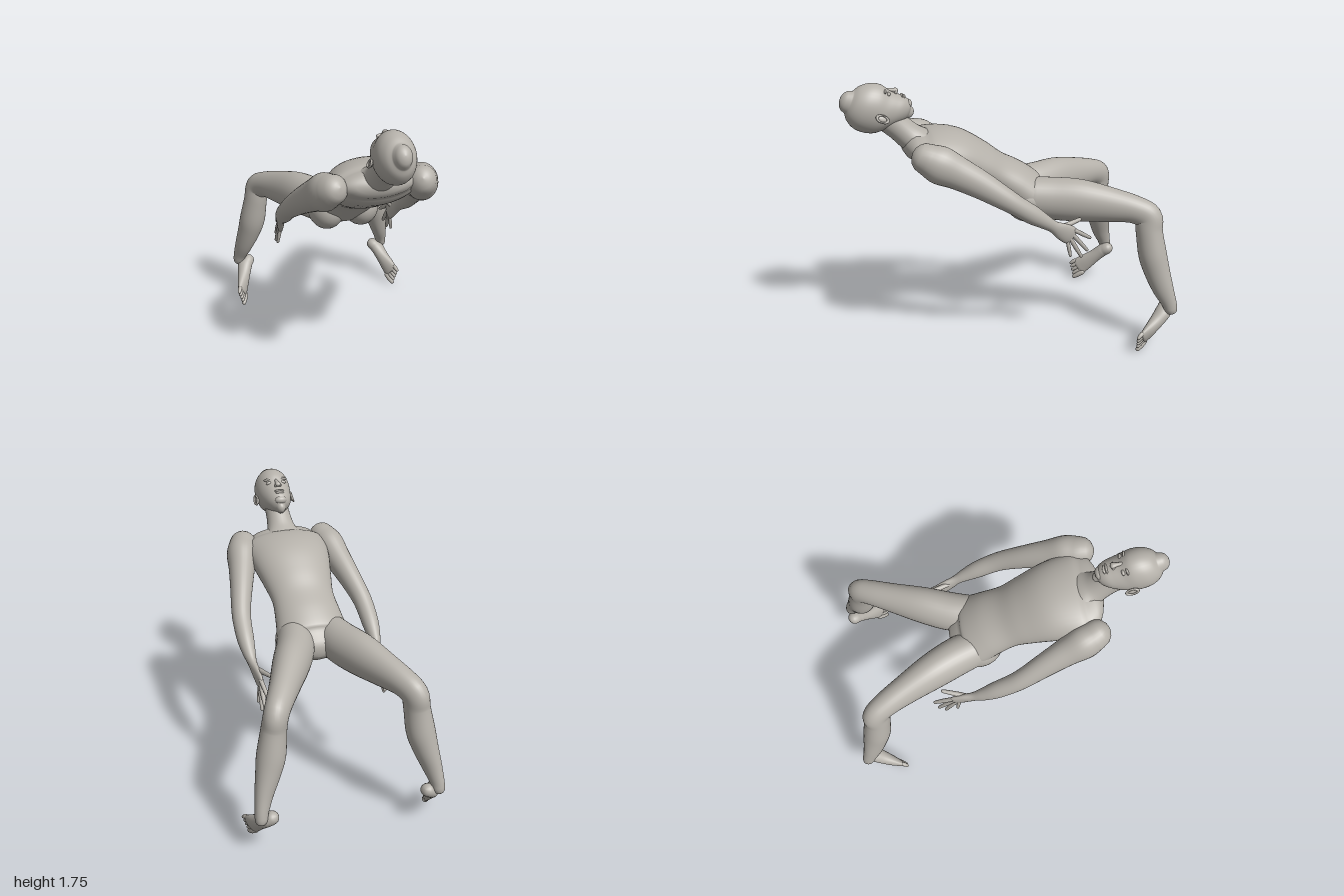
import * as THREE from 'three';

const skin = new THREE.MeshStandardMaterial({ color: 0xb5b1aa });
skin.name = 'warm grey skin';

// Smooth tube through rows of [x, y, z, half width, half depth] with domed ends.
// side: direction of the width; axis: optional fixed direction for all sections.
function loft(name, rows, side, { axis = null, seg = 28, steps = 5 } = {}) {
  const path = new THREE.CatmullRomCurve3(rows.map(r => new THREE.Vector3(r[0], r[1], r[2])), false, 'catmullrom');
  const size = new THREE.CatmullRomCurve3(rows.map(r => new THREE.Vector3(r[3], r[4], 0)), false, 'catmullrom');
  const stations = [];
  const n = (rows.length - 1) * steps;
  const caps = [0.05, 0.35, 0.65, 0.88];
  for (const k of caps) stations.push([0, k, -1]);
  for (let i = 0; i <= n; i++) stations.push([i / n, 1, 0]);
  for (const k of [...caps].reverse()) stations.push([1, k, 1]);

  const pos = [], index = [];
  for (const [t, k, end] of stations) {
    const dir = axis ? axis.clone() : path.getTangent(t);
    const u = side.clone().addScaledVector(dir, -side.dot(dir)).normalize();
    const v = new THREE.Vector3().crossVectors(dir, u);
    const s = size.getPoint(t);
    const c = path.getPoint(t).addScaledVector(dir, end * Math.min(s.x, s.y) * Math.sqrt(1 - k * k));
    for (let j = 0; j < seg; j++) {
      const a = (j / seg) * Math.PI * 2;
      const p = c.clone().addScaledVector(u, Math.cos(a) * s.x * k).addScaledVector(v, Math.sin(a) * s.y * k);
      pos.push(p.x, p.y, p.z);
    }
  }
  for (let i = 0; i < stations.length - 1; i++) {
    for (let j = 0; j < seg; j++) {
      const a = i * seg + j, b = i * seg + (j + 1) % seg;
      index.push(a, b, a + seg, b, b + seg, a + seg);
    }
  }
  // close the two poles
  const last = (stations.length - 1) * seg;
  for (let j = 1; j < seg - 1; j++) index.push(0, j + 1, j, last, last + j, last + j + 1);

  const g = new THREE.BufferGeometry();
  g.setAttribute('position', new THREE.Float32BufferAttribute(pos, 3));
  g.setIndex(index);
  g.computeVertexNormals();
  const m = new THREE.Mesh(g, skin);
  m.name = name;
  return m;
}

function ellipsoid(name, p, r) {
  const m = new THREE.Mesh(new THREE.SphereGeometry(1, 28, 18), skin);
  m.name = name;
  m.position.set(...p);
  m.scale.set(...r);
  return m;
}

// Tapered finger or toe
function digit(name, from, to, r) {
  const a = new THREE.Vector3(...from), b = new THREE.Vector3(...to);
  const mid = a.clone().lerp(b, 0.5);
  const rows = [[...a.toArray(), r, r], [...mid.toArray(), r, r], [...b.toArray(), r * 0.75, r * 0.75]];
  return loft(name, rows, new THREE.Vector3(1, 0.1, 0), { seg: 10, steps: 3 });
}

const X = new THREE.Vector3(1, 0, 0);

// Head in its own upright frame (y crown, z face), then tipped back
function makeHead() {
  const head = new THREE.Group();
  head.name = 'head';
  // height, front, back, half width
  const profile = [
    [-0.222, 0.098, 0.02, 0.03], [-0.2, 0.126, -0.01, 0.058], [-0.16, 0.14, -0.05, 0.083],
    [-0.11, 0.141, -0.1, 0.099], [-0.06, 0.143, -0.137, 0.11], [0, 0.155, -0.152, 0.116],
    [0.06, 0.141, -0.148, 0.11], [0.11, 0.105, -0.12, 0.087], [0.14, 0.06, -0.082, 0.055]];
  const rows = profile.map(([y, f, b, w]) => [0, y, (f + b) / 2, w, (f - b) / 2]);
  head.add(loft('skull', rows, X, { axis: new THREE.Vector3(0, 1, 0), seg: 40 }));
  head.add(loft('nose', [[0, -0.04, 0.138, 0.01, 0.01], [0, -0.07, 0.148, 0.012, 0.012],
    [0, -0.095, 0.155, 0.019, 0.015]], X, { seg: 16 }));
  head.add(ellipsoid('upperLip', [0, -0.14, 0.138], [0.032, 0.008, 0.014]));
  head.add(ellipsoid('lowerLip', [0, -0.155, 0.136], [0.028, 0.009, 0.014]));
  head.add(ellipsoid('chin', [0, -0.195, 0.108], [0.04, 0.025, 0.026]));
  for (const s of [-1, 1]) {
    head.add(ellipsoid('eye', [s * 0.047, -0.05, 0.125], [0.022, 0.011, 0.014]));
    head.add(ellipsoid('brow', [s * 0.047, -0.024, 0.131], [0.032, 0.008, 0.013]));
    head.add(ellipsoid('nostril', [s * 0.014, -0.097, 0.146], [0.01, 0.009, 0.012]));
    const ear = new THREE.Group();
    ear.name = 'ear';
    ear.add(ellipsoid('earShell', [0, 0, 0], [0.01, 0.034, 0.02]));
    const rim = new THREE.Mesh(new THREE.TorusGeometry(0.026, 0.007, 8, 24), skin);
    rim.name = 'earRim';
    rim.rotation.y = Math.PI / 2;
    rim.scale.set(0.8, 1.35, 1);
    rim.position.x = s * 0.008;
    ear.add(rim);
    ear.position.set(s * 0.118, -0.055, -0.016);
    ear.rotation.y = s * -0.35;
    head.add(ear);
  }
  head.rotation.set(1.13, Math.PI, 0);
  head.position.set(0, 1.615, 0.842);
  return head;
}

function makeArm(s) {
  const arm = new THREE.Group();
  arm.name = s > 0 ? 'leftArm' : 'rightArm';
  const at = (x, y, z) => [s * x, y, z];
  // shoulder, elbow, wrist and palm in one sweep
  arm.add(loft('armAndPalm', [
    [0.275, 1.36, 0.575, 0.09, 0.095], [0.3, 1.322, 0.5, 0.098, 0.115], [0.325, 1.27, 0.4, 0.085, 0.1],
    [0.36, 1.195, 0.27, 0.072, 0.085], [0.395, 1.11, 0.14, 0.062, 0.07], [0.408, 1.055, 0.06, 0.058, 0.062],
    [0.412, 0.985, -0.04, 0.053, 0.058], [0.41, 0.93, -0.12, 0.041, 0.045], [0.404, 0.887, -0.18, 0.028, 0.038],
    [0.395, 0.85, -0.235, 0.024, 0.053], [0.387, 0.817, -0.285, 0.021, 0.06], [0.385, 0.802, -0.308, 0.016, 0.056],
  ].map(r => [s * r[0], ...r.slice(1)]), X));
  const tips = [[0.37, 0.77, -0.435], [0.385, 0.695, -0.412], [0.395, 0.662, -0.37], [0.4, 0.678, -0.296]];
  tips.forEach((tip, i) => {
    const k = 0.044 - i * 0.029;
    arm.add(digit('finger', at(0.387, 0.8 + 0.85 * k, -0.305 - 0.53 * k), at(...tip), i === 3 ? 0.012 : 0.014));
  });
  arm.add(digit('thumb', at(0.39, 0.867, -0.225), at(0.34, 0.888, -0.375), 0.016));
  return arm;
}

function makeLeg(s) {
  const leg = new THREE.Group();
  leg.name = s > 0 ? 'leftLeg' : 'rightLeg';
  const flip = rows => rows.map(r => [s * r[0], ...r.slice(1)]);
  // thigh, knee and shin in one sweep
  leg.add(loft('thighAndShin', flip([
    [0.115, 0.985, -0.13, 0.115, 0.13], [0.155, 0.975, -0.26, 0.12, 0.138], [0.225, 0.968, -0.42, 0.112, 0.138],
    [0.31, 0.948, -0.6, 0.092, 0.112], [0.375, 0.927, -0.73, 0.08, 0.09], [0.418, 0.882, -0.805, 0.074, 0.09],
    [0.435, 0.79, -0.812, 0.076, 0.085], [0.458, 0.64, -0.833, 0.086, 0.09], [0.485, 0.53, -0.858, 0.074, 0.082],
    [0.518, 0.42, -0.89, 0.056, 0.068], [0.542, 0.33, -0.925, 0.042, 0.05], [0.55, 0.28, -0.94, 0.038, 0.042],
  ]), new THREE.Vector3(s * 0.9, 0, 0.45), { seg: 32 }));
  leg.add(ellipsoid('buttock', [s * 0.115, 0.963, -0.115], [0.12, 0.138, 0.15]));
  // foot turned with its sole facing inward
  const across = new THREE.Vector3(s * -0.44, -0.8, -0.4);
  leg.add(loft('foot', flip([
    [0.485, 0.27, -0.93, 0.042, 0.045], [0.512, 0.245, -0.905, 0.045, 0.052], [0.533, 0.2, -0.855, 0.046, 0.045],
    [0.555, 0.15, -0.795, 0.056, 0.034], [0.57, 0.115, -0.75, 0.061, 0.022],
  ]), across));
  for (let i = 0; i < 5; i++) {
    const k = 0.05 - i * 0.025, len = 0.068 - i * 0.008;
    const base = [0.57 - 0.44 * k, 0.113 - 0.8 * k, -0.745 - 0.4 * k];
    const tip = [base[0] + 0.32 * len, base[1] - 0.55 * len, base[2] + 0.77 * len];
    leg.add(digit('toe', [s * base[0], base[1], base[2]], [s * tip[0], tip[1], tip[2]], i === 0 ? 0.02 : 0.014));
  }
  return leg;
}

export function createModel() {
  const model = new THREE.Group();
  model.name = 'recliningFigure';
  model.add(loft('torso', [
    [0, 1.365, 0.575, 0.235, 0.09], [0, 1.342, 0.51, 0.27, 0.128], [0, 1.297, 0.36, 0.255, 0.155],
    [0, 1.222, 0.21, 0.222, 0.142], [0, 1.15, 0.09, 0.2, 0.125], [0, 1.07, -0.03, 0.212, 0.138],
    [0, 0.995, -0.125, 0.225, 0.14], [0, 0.965, -0.175, 0.19, 0.11],
  ], X, { seg: 44 }));
  model.add(loft('neck', [
    [0, 1.57, 0.775, 0.078, 0.085], [0, 1.49, 0.685, 0.08, 0.08], [0, 1.42, 0.61, 0.1, 0.085], [0, 1.375, 0.54, 0.15, 0.09],
  ], X));
  model.add(makeHead());
  for (const s of [-1, 1]) model.add(makeArm(s), makeLeg(s));
  return model;
}
